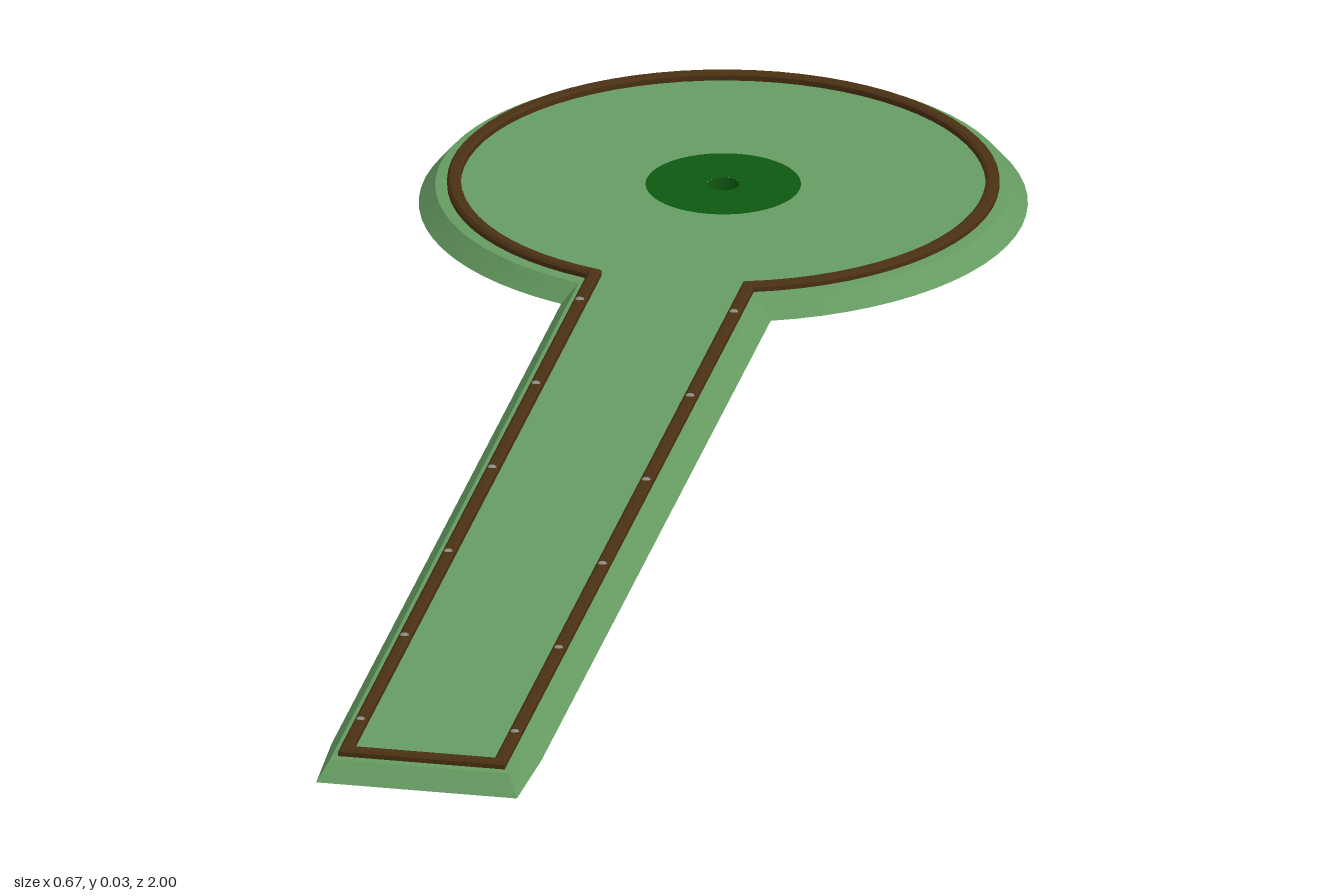
import * as THREE from 'three';
import { toCreasedNormals } from 'three/addons/utils/BufferGeometryUtils.js';

const CZ = -0.667; // centre of the round green
const ARC = 64;

const paint = (color) => new THREE.MeshStandardMaterial({ color, side: THREE.DoubleSide });

// Keyhole outline as [x, z] points: round head of radius r, lane of half width w ending at z = end
function outline(r, w, end, endW = w) {
  const a = Math.asin(w / r);
  const pts = [[endW, end], [w, 0.89]];
  for (let i = 0; i <= ARC; i++) {
    const t = a + (i / ARC) * (2 * Math.PI - 2 * a);
    pts.push([r * Math.sin(t), CZ + r * Math.cos(t)]);
  }
  pts.push([-w, 0.89], [-endW, end]);
  return pts;
}

// Skin between successive outlines, each given as { y, pts }
function loft(rings) {
  const pos = [];
  const n = rings[0].pts.length;
  const put = (ring, i) => pos.push(ring.pts[i % n][0], ring.y, ring.pts[i % n][1]);
  for (let k = 0; k < rings.length - 1; k++) {
    const lo = rings[k], hi = rings[k + 1];
    for (let i = 0; i < n; i++) {
      put(lo, i); put(lo, i + 1); put(hi, i + 1);
      put(lo, i); put(hi, i + 1); put(hi, i);
    }
  }
  const g = new THREE.BufferGeometry();
  g.setAttribute('position', new THREE.Float32BufferAttribute(pos, 3));
  return toCreasedNormals(g, Math.PI / 7);
}

export function createModel() {
  const model = new THREE.Group();
  const turf = paint(0x669c62), darkTurf = paint(0x0f5912);
  const wood = paint(0x4a3013), metal = paint(0x8a8a80);
  const add = (name, geometry, material, x = 0, y = 0, z = 0) => {
    const mesh = new THREE.Mesh(geometry, material);
    mesh.name = name;
    mesh.position.set(x, y, z);
    model.add(mesh);
    return mesh;
  };

  // Sloped skirt and the narrow ledge outside the kerb
  add('skirt', loft([
    { y: 0, pts: outline(0.333, 0.117, 1.0, 0.112) },
    { y: 0.021, pts: outline(0.315, 0.1, 0.982) },
    { y: 0.022, pts: outline(0.301, 0.093, 0.974) },
  ]), turf);

  // Raised kerb with a rounded outer edge, open underneath
  add('kerb', loft([
    { y: 0.02, pts: outline(0.302, 0.093, 0.974) },
    { y: 0.027, pts: outline(0.302, 0.093, 0.974) },
    { y: 0.03, pts: outline(0.299, 0.09, 0.971) },
    { y: 0.03, pts: outline(0.29, 0.082, 0.962) },
    { y: 0.028, pts: outline(0.287, 0.079, 0.959) },
    { y: 0.02, pts: outline(0.287, 0.079, 0.959) },
  ]), wood);

  // Playing surface with a round opening for the darker patch
  const field = new THREE.Shape(outline(0.287, 0.079, 0.959).map(([x, z]) => new THREE.Vector2(x, -z)));
  field.holes.push(new THREE.Path().absarc(0, -CZ, 0.085, 0, Math.PI * 2, true));
  add('playingSurface', new THREE.ShapeGeometry(field, 24).rotateX(-Math.PI / 2), turf, 0, 0.022);

  // Dark patch around the cup
  add('cupSurround', new THREE.RingGeometry(0.018, 0.085, 48).rotateX(-Math.PI / 2), darkTurf, 0, 0.022, CZ);

  // Shallow cup
  const cup = [[0, 0.006], [0.018, 0.006], [0.018, 0.022]].map(([r, y]) => new THREE.Vector2(r, y));
  add('cup', toCreasedNormals(new THREE.LatheGeometry(cup, 24), Math.PI / 5), darkTurf, 0, 0, CZ);

  // Small studs along both kerbs of the lane
  const stud = new THREE.SphereGeometry(0.005, 12, 6, 0, Math.PI * 2, 0, Math.PI / 2).scale(1, 0.4, 1);
  for (const side of [-1, 1]) {
    for (let i = 0; i < 6; i++) add('kerbStud', stud, metal, side * 0.086, 0.0295, -0.305 + i * 0.238);
  }
  return model;
}
